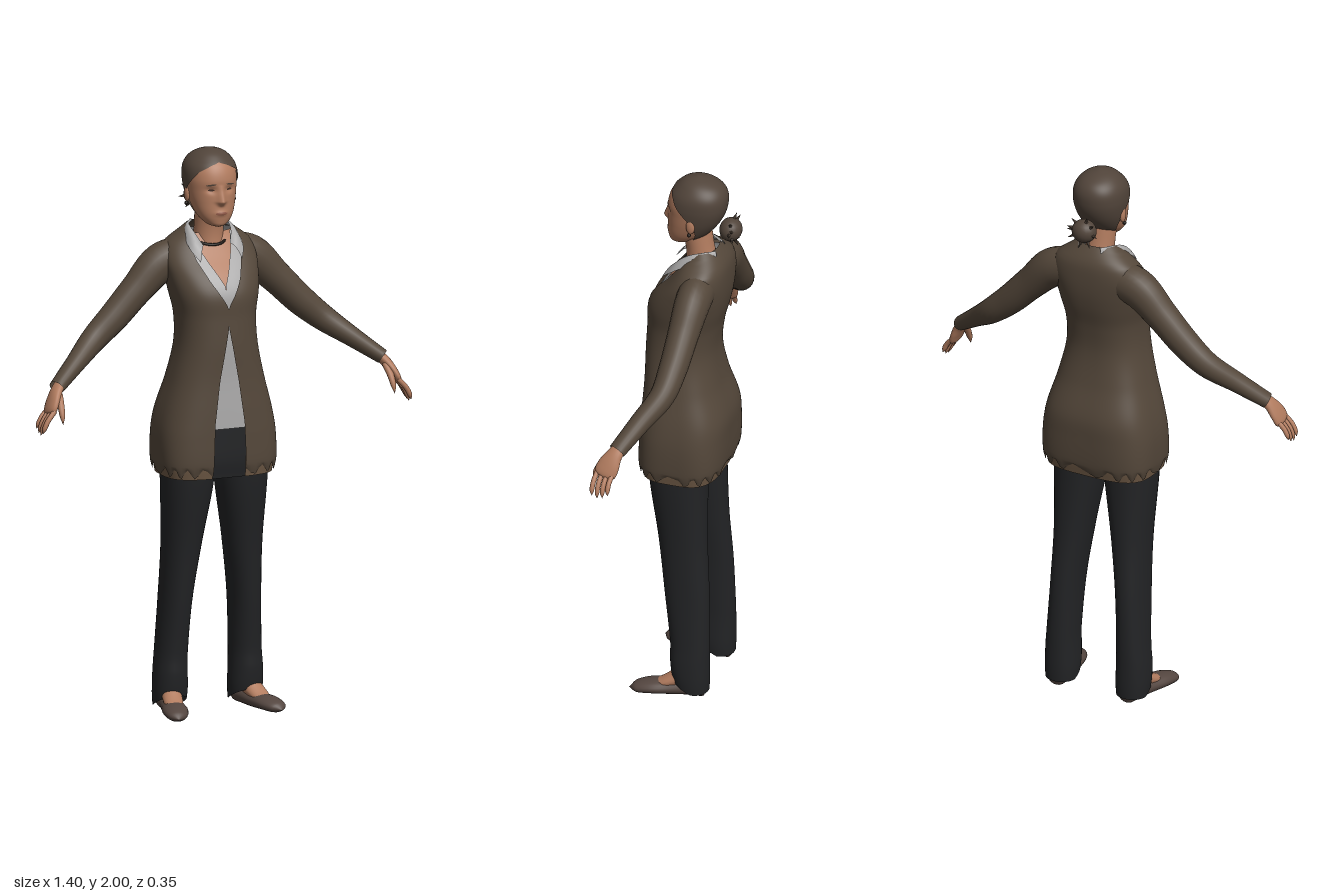
import * as THREE from 'three';
import { mergeVertices } from 'three/addons/utils/BufferGeometryUtils.js';

const mat = (name, color, side = THREE.FrontSide) => {
  const m = new THREE.MeshStandardMaterial({ color, side });
  m.name = name;
  return m;
};
const V = (x, y, z) => new THREE.Vector3(x, y, z);

// Smooth interpolation of table rows, keyed by their first column
function at(rows, y) {
  let i = 0;
  while (i < rows.length - 2 && y > rows[i + 1][0]) i++;
  const h = rows[i + 1][0] - rows[i][0], t = THREE.MathUtils.clamp((y - rows[i][0]) / h, 0, 1);
  const slope = (j, k) => {
    const a = rows[Math.max(j - 1, 0)], b = rows[Math.min(j + 1, rows.length - 1)];
    return (b[k] - a[k]) / (b[0] - a[0]);
  };
  return rows[i].map((p, k) => {
    const q = rows[i + 1][k], t2 = t * t, t3 = t2 * t;
    return p * (2 * t3 - 3 * t2 + 1) + q * (3 * t2 - 2 * t3) + h * (slope(i, k) * (t3 - 2 * t2 + t) + slope(i + 1, k) * (t3 - t2));
  });
}
// Straight-line lookup
function lerpAt(rows, y) {
  let i = 0;
  while (i < rows.length - 2 && y > rows[i + 1][0]) i++;
  const [a, b] = [rows[i], rows[i + 1]];
  return THREE.MathUtils.lerp(a[1], b[1], THREE.MathUtils.clamp((y - a[0]) / (b[0] - a[0]), 0, 1));
}

// Grid surface from point(u, v), u around and v along
function surface(point, nu, nv) {
  const pos = [], idx = [];
  for (let i = 0; i <= nv; i++) for (let j = 0; j <= nu; j++) pos.push(...point(j / nu, i / nv).toArray());
  for (let i = 0; i < nv; i++) for (let j = 0; j < nu; j++) {
    const a = i * (nu + 1) + j, b = a + nu + 1;
    idx.push(a, a + 1, b, a + 1, b + 1, b);
  }
  let g = new THREE.BufferGeometry();
  g.setAttribute('position', new THREE.Float32BufferAttribute(pos, 3));
  g.setIndex(idx);
  g = mergeVertices(g, 1e-5);
  g.computeVertexNormals();
  return g;
}

// Level rings [y, halfWidth, frontZ, backZ, roundness, centreX], open at the front by an angle
function body(rows, y0, y1, { inset = 0, gap = () => 0, warp, side = 1, nu = 48, nv = 40 } = {}) {
  return surface((u, v) => {
    const y = y0 + (y1 - y0) * v, [, w, f, b, e, cx = 0] = at(rows, y);
    const hw = Math.max(w - inset, 0), d = Math.max((f - b) / 2 - inset, 0);
    const g = gap(y, hw, e), a = g + (2 * Math.PI - 2 * g) * u, s = Math.sin(a), c = Math.cos(a);
    const p = V(cx * side + hw * Math.sign(s) * Math.abs(s) ** e, y, (f + b) / 2 + d * Math.sign(c) * Math.abs(c) ** e);
    if (warp) warp(p, a);
    return p;
  }, nu, nv);
}

// Tapered limb along points [x, y, z, radius toward ref, radius across]
function limb(pts, side = 1, { ref = V(0, 0, 1), nu = 20, nv = 24, floor = false } = {}) {
  const curve = new THREE.CatmullRomCurve3(pts.map(p => V(p[0] * side, p[1], p[2])));
  const radii = pts.map((p, i) => [i, p[3], p[4]]);
  return surface((u, v) => {
    const t = curve.getTangent(v), w = ref.clone().addScaledVector(t, -ref.dot(t)).normalize(), n = t.clone().cross(w);
    const [, ra, rb] = at(radii, v * (pts.length - 1)), a = u * 2 * Math.PI;
    const p = curve.getPoint(v).addScaledVector(w, Math.max(ra, 0) * Math.cos(a)).addScaledVector(n, Math.max(rb, 0) * Math.sin(a));
    if (floor) p.y = Math.max(p.y, 0);
    return p;
  }, nu, nv);
}

const torso = [
  [.86, .205, .165, -.125, .6], [.9, .212, .172, -.135, .6], [1.0, .212, .172, -.14, .65], [1.08, .2, .17, -.138, .7],
  [1.2, .168, .165, -.105, .75], [1.32, .143, .165, -.088, .8], [1.42, .14, .16, -.098, .8], [1.5, .155, .155, -.118, .8],
  [1.56, .165, .125, -.128, .8], [1.62, .17, .075, -.13, .8], [1.67, .15, .04, -.125, .85], [1.7, .11, .025, -.11, .9],
  [1.73, .075, .01, -.085, 1]];
const leg = [
  [.02, .057, .03, -.098, .9, .142], [.06, .06, .035, -.1, .9, .142], [.14, .058, .04, -.1, .9, .142], [.2, .055, .04, -.1, .9, .14],
  [.4, .054, .065, -.095, .9, .13], [.6, .066, .09, -.083, .9, .115], [.86, .092, .13, -.08, .9, .1], [1, .09, .13, -.09, .9, .1]];
const head = [
  [1.73, 0, .065, .06, 1], [1.737, .028, .084, .02, 1], [1.755, .05, .091, -.01, .95], [1.78, .066, .094, -.045, .92],
  [1.82, .079, .093, -.08, .92], [1.86, .086, .092, -.102, .92], [1.9, .089, .092, -.112, .92], [1.94, .084, .079, -.11, .95],
  [1.97, .066, .054, -.09, 1], [1.99, .038, .025, -.052, 1], [2, 0, -.012, -.014, 1]];
const neck = [[1.6, .06, .045, -.1, 1], [1.66, .054, .03, -.085, 1], [1.72, .052, .03, -.07, 1], [1.79, .055, .045, -.06, 1]];

// Front openings as half widths
const jacketGap = [[.86, .062], [1.05, .055], [1.2, .035], [1.27, .022], [1.39, 0], [1.46, 0], [1.55, .055], [1.62, .085], [1.73, .09]];
const shirtGap = [[1.53, 0], [1.6, .036], [1.64, .055], [1.7, .07]];
const opening = table => (y, hw, e) => Math.asin(Math.min(lerpAt(table, y) / hw, 1) ** (1 / e));

// Nose, eye sockets and lips raised from the face
function relief(x, y) {
  const g = (d, s) => Math.exp(-((d / s) ** 2));
  const ridge = y > 1.824 ? THREE.MathUtils.clamp((1.885 - y) / .06, 0, 1) : THREE.MathUtils.clamp((y - 1.806) / .018, 0, 1);
  return .021 * ridge * g(x, .009 + .006 * ridge) - .008 * g(Math.abs(x) - .034, .017) * g(y - 1.866, .012)
    + .005 * g(x, .022) * g(y - 1.783, .009);
}
function faceZ(x, y) {
  const [, w, f, b, e] = at(head, y), s = Math.min(Math.abs(x) / w, 1) ** (1 / e);
  return (f + b) / 2 + (f - b) / 2 * Math.sqrt(1 - s * s) ** e + relief(x, y);
}

export function createModel() {
  const model = new THREE.Group();
  model.name = 'standingWoman';
  const D = THREE.DoubleSide;
  const skin = mat('skin', 0xb27c5f), jacket = mat('brownJacket', 0x54473a, D), lining = mat('jacketHem', 0x6e5945, D);
  const shirt = mat('greyShirt', 0xaaa9a9, D), trousers = mat('blackTrousers', 0x222325, D), hair = mat('brownHair', 0x51443a, D);
  const shoes = mat('brownShoes', 0x544640), dark = mat('darkBeads', 0x1e1814), lips = mat('lips', 0x915a48), eyes = mat('eyes', 0x3f2c24);
  const add = (name, geo, material) => {
    const m = new THREE.Mesh(geo, material);
    m.name = name;
    model.add(m);
    return m;
  };

  // Clothes on the torso
  add('jacketBody', body(torso, .86, 1.73, {
    gap: opening(jacketGap), nu: 72, nv: 60,
    warp: (p, a) => { if (p.y < .9) p.y += (.9 - p.y) * .4 * (1 + Math.sin(a * 17)); }
  }), jacket);
  add('jacketHem', body(torso, .855, .93, { inset: .007, gap: opening(jacketGap), nv: 4 }), lining);
  add('shirt', body(torso, 1.03, 1.7, { inset: .012, gap: opening(shirtGap) }), shirt);
  add('chest', body(torso, 1.45, 1.7, { inset: .02, nv: 20 }), skin);
  add('trouserSeat', body(torso, .85, 1.06, { inset: .03, nv: 10 }), trousers);

  // Head and neck
  add('neck', body(neck, 1.6, 1.79, { nv: 12 }), skin);
  add('head', body(head, 1.73, 1.965, { nu: 100, nv: 64, warp: p => { if (p.z > .02) p.z += relief(p.x, p.y); } }), skin);
  const hairline = [[1.76, 2.2], [1.8, 2], [1.85, 1.65], [1.89, 1.25], [1.93, .8], [1.95, .35], [1.96, 0]];
  const hairRows = head.map(([y, w, f, b, e]) => [y, w * 1.06, f + .004, b - .006 * Math.min(1, w / .05), e]);
  add('hair', body(hairRows, 1.76, 2, { gap: y => lerpAt(hairline, y), nu: 60, nv: 60 }), hair);

  // Face details laid onto the head surface
  const patch = (name, material, cx, cy, rx, ry, tilt = 0) => {
    const g = new THREE.RingGeometry(0, 1, 18, 3), p = g.attributes.position;
    for (let i = 0; i < p.count; i++) {
      const x = cx + p.getX(i) * rx, y = cy + p.getY(i) * ry + tilt * p.getX(i);
      p.setXYZ(i, x, y, faceZ(x, y) + .002);
    }
    g.computeVertexNormals();
    add(name, g, material);
  };
  patch('mouth', lips, 0, 1.783, .022, .006);
  for (const s of [1, -1]) {
    patch('eye', eyes, .034 * s, 1.866, .011, .0035);
    patch('eyebrow', hair, .036 * s, 1.885, .017, .0028, -.002 * s);
    const ear = add('ear', new THREE.SphereGeometry(1, 16, 12), skin);
    ear.scale.set(.009, .028, .016);
    ear.position.set(.086 * s, 1.84, -.012);
    const earring = add('earring', new THREE.SphereGeometry(.007, 10, 8), dark);
    earring.position.set(.09 * s, 1.808, -.008);
  }

  // Bun with loose tufts
  const bun = add('hairBun', new THREE.SphereGeometry(1, 20, 14), hair);
  bun.scale.set(.045, .042, .04);
  bun.position.set(0, 1.807, -.132);
  for (let i = 0; i < 9; i++) {
    const a = i * 2.4, dir = V(Math.cos(a), Math.sin(a) * .8, -.25 - .1 * (i % 3)).normalize();
    const tuft = add('hairTuft', new THREE.ConeGeometry(.013, .045, 5), hair);
    tuft.position.set(0, 1.807, -.128).addScaledVector(dir, .043);
    tuft.quaternion.setFromUnitVectors(V(0, 1, 0), dir);
  }

  // Necklace
  const necklace = add('necklace', new THREE.TorusGeometry(.057, .005, 8, 36).rotateX(Math.PI / 2 + .35), dark);
  necklace.position.set(0, 1.68, -.018);

  for (const s of [1, -1]) {
    // Folded collar
    const inner = [V(.035, 1.725, -.085), V(.07, 1.727, -.03), V(.068, 1.705, .015), V(.05, 1.665, .05)];
    const outer = [V(.045, 1.715, -.095), V(.093, 1.7, -.03), V(.1, 1.655, .05), V(.078, 1.615, .095)];
    const [ci, co] = [inner, outer].map(c => new THREE.CatmullRomCurve3(c.map(p => V(p.x * s, p.y, p.z))));
    add('collar', surface((u, v) => ci.getPoint(u).lerp(co.getPoint(u), v).add(V(0, .012 * Math.sin(v * Math.PI), 0)), 14, 5), shirt);

    // Sleeve and hand
    add('sleeve', limb([[.08, 1.615, -.05, .06, .07], [.17, 1.592, -.05, .062, .07], [.26, 1.51, -.045, .055, .058],
      [.35, 1.42, -.038, .05, .053], [.43, 1.352, -.025, .044, .046], [.52, 1.285, .025, .037, .035],
      [.615, 1.215, .077, .031, .026]], s, { nv: 36 }), jacket);
    add('palm', limb([[.595, 1.23, .066, .022, .018], [.622, 1.2, .085, .03, .018], [.642, 1.165, .1, .04, .017],
      [.655, 1.135, .11, .036, .014], [.66, 1.122, .114, 0, 0]], s), skin);
    for (let k = 0; k < 4; k++) {
      const z = .08 + k * .019, len = [.8, .95, 1, .9][k];
      add('finger', limb([[.648, 1.145, z, .009, .009], [.676, 1.145 - .035 * len, z + .006, .009, .009],
        [.69, 1.145 - .066 * len, z + .007, .008, .008], [.695, 1.145 - .085 * len, z + .005, 0, 0]], s, { nu: 10, nv: 12 }), skin);
    }
    add('thumb', limb([[.615, 1.195, .1, .012, .012], [.622, 1.16, .132, .012, .012], [.625, 1.125, .152, .009, .009],
      [.626, 1.1, .16, 0, 0]], s, { nu: 10, nv: 12, ref: V(1, 0, 0) }), skin);

    // Trouser leg, raised at the front of the hem
    add('trouserLeg', body(leg, .02, 1, {
      side: s, nu: 32, nv: 44,
      warp: p => { if (p.y < .16) p.y += (.16 - p.y) * .3 * THREE.MathUtils.clamp((p.z + .05) / .08, 0, 1); }
    }), trousers);

    // Foot and shoe
    const ref = V(1, 0, 0);
    add('foot', limb([[.142, .12, -.05, .035, .035], [.148, .075, -.01, .035, .035], [.162, .045, .05, .034, .02],
      [.17, .03, .1, .02, .01]], s, { ref }), skin);
    add('shoe', limb([[.14, .028, -.096, 0, 0], [.14, .03, -.085, .033, .03], [.146, .029, -.03, .036, .03], [.16, .026, .04, .042, .027],
      [.176, .025, .1, .045, .025], [.19, .018, .15, .032, .018], [.195, .012, .175, 0, 0]], s, { ref, nv: 36, floor: true }), shoes);
  }
  return model;
}
